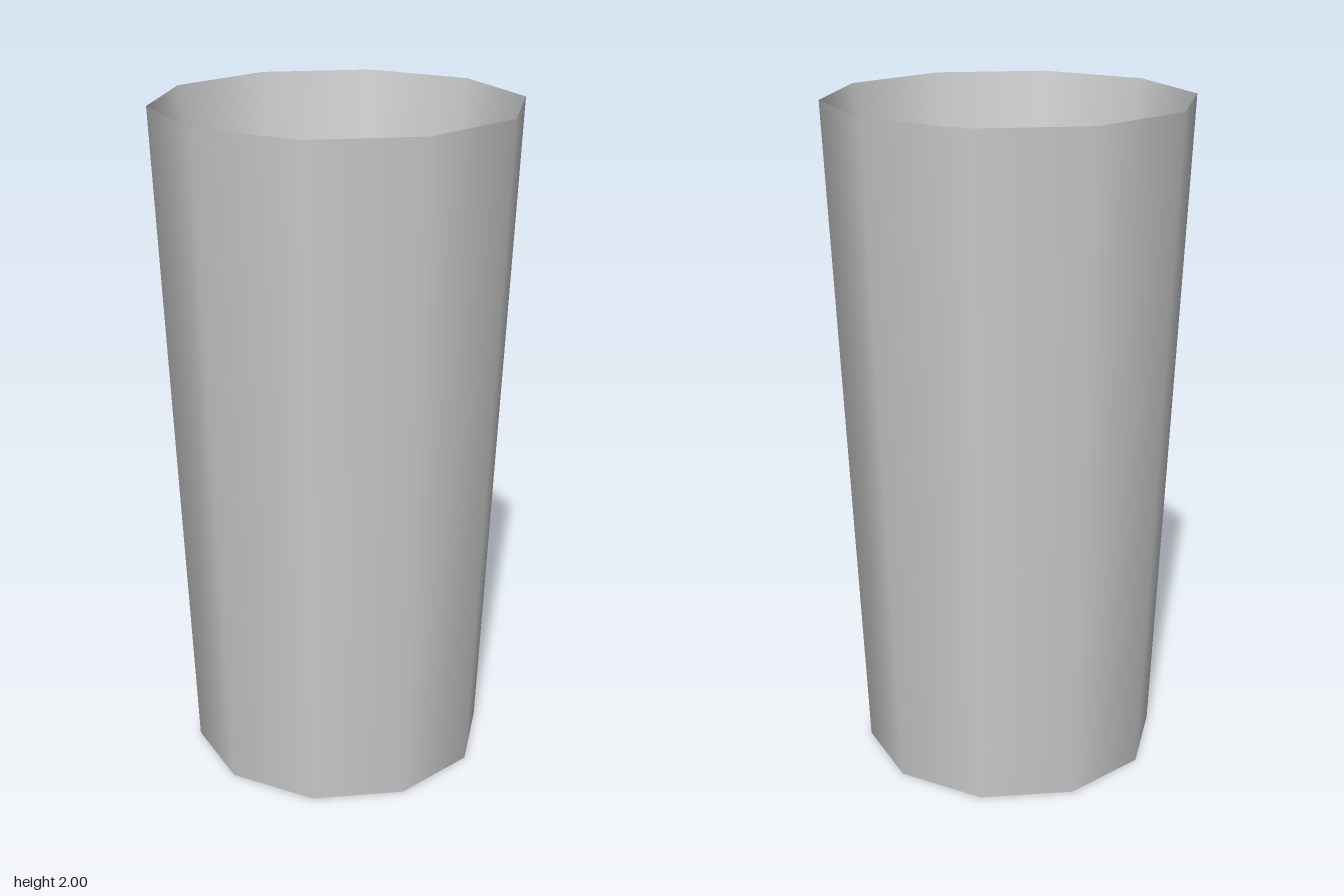
import * as THREE from 'three';

const SIDES = 10;
const HEIGHT = 2;
const RIM_RADIUS = 0.537;
const BASE_RADIUS = 0.444;
const FLOOR_RADIUS = 0.46;
const FLOOR_Y = 1.58;

export function createModel() {
  const group = new THREE.Group();
  group.name = 'cup';
  const outside = new THREE.MeshStandardMaterial({ color: 0xcccccc });
  const inside = new THREE.MeshStandardMaterial({ color: 0xcccccc, side: THREE.BackSide });

  // Open tapered ring with a corner on +x, smooth around its sides
  function addWall(name, topRadius, bottomRadius, y0, y1, material) {
    const geometry = new THREE.CylinderGeometry(
      topRadius, bottomRadius, y1 - y0, SIDES, 1, true, Math.PI / 2);
    const mesh = new THREE.Mesh(geometry, material);
    mesh.name = name;
    mesh.position.y = (y0 + y1) / 2;
    group.add(mesh);
  }

  // Flat ten-sided disc facing up (facing = 1) or down (facing = -1)
  function addDisc(name, radius, y, facing) {
    const mesh = new THREE.Mesh(new THREE.CircleGeometry(radius, SIDES), outside);
    mesh.name = name;
    mesh.rotation.x = -facing * Math.PI / 2;
    mesh.position.y = y;
    group.add(mesh);
  }

  addWall('outerWall', RIM_RADIUS, BASE_RADIUS, 0, HEIGHT, outside);
  // Shallow well, sharing the knife-edge rim with the outer wall
  addWall('innerWall', RIM_RADIUS, FLOOR_RADIUS, FLOOR_Y, HEIGHT, inside);
  addDisc('innerFloor', FLOOR_RADIUS, FLOOR_Y, 1);
  addDisc('base', BASE_RADIUS, 0, -1);

  return group;
}
